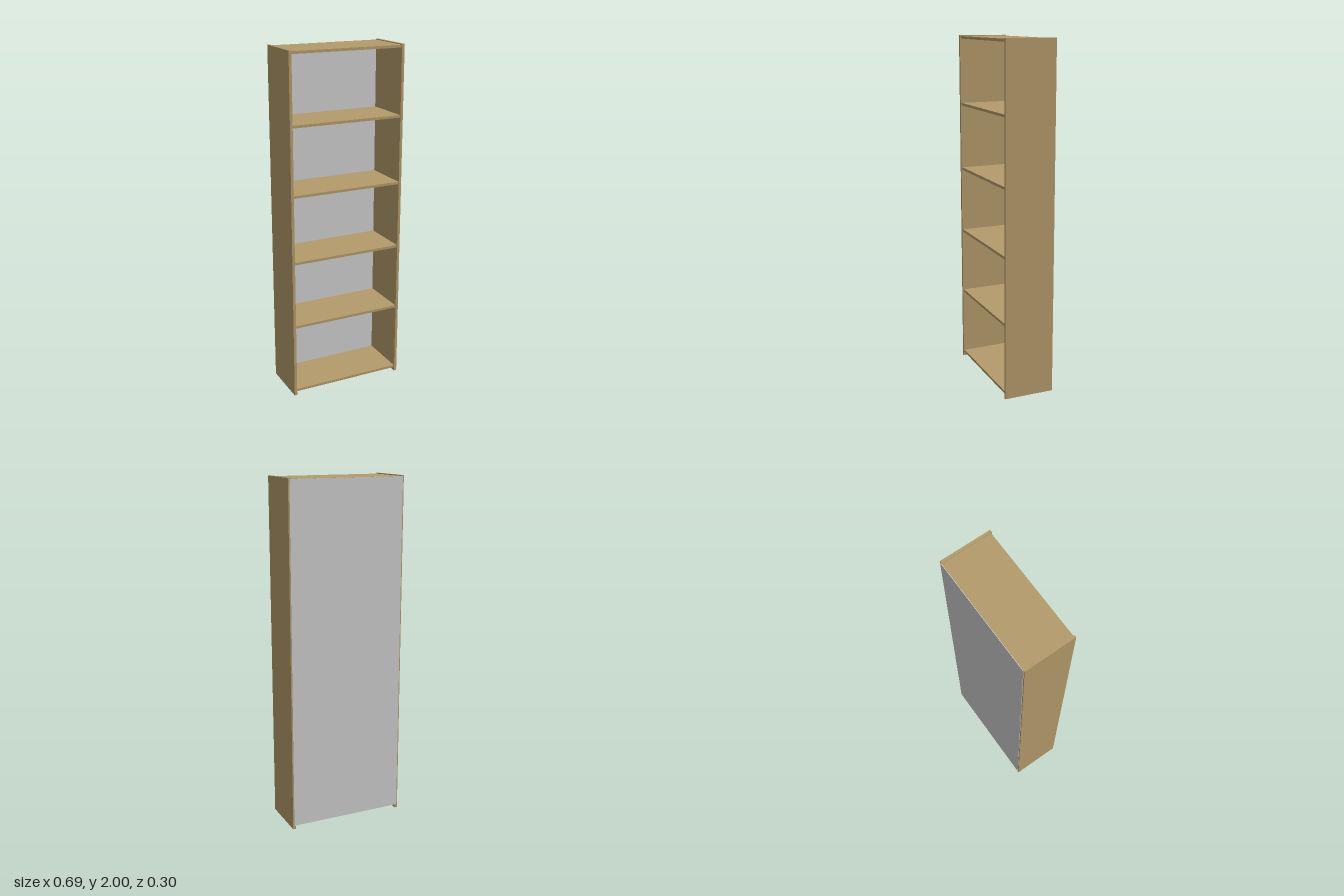
import * as THREE from 'three';

export function createModel() {
  const wood = new THREE.MeshStandardMaterial({ name: 'wood', color: 0xb39b6b });
  const grey = new THREE.MeshStandardMaterial({ name: 'backGrey', color: 0xcccccc });
  const model = new THREE.Group();
  model.name = 'bookcase';

  // Box given by its minimum and maximum corners
  const board = (name, material, [x0, y0, z0], [x1, y1, z1]) => {
    const mesh = new THREE.Mesh(new THREE.BoxGeometry(x1 - x0, y1 - y0, z1 - z0), material);
    mesh.position.set((x0 + x1) / 2, (y0 + y1) / 2, (z0 + z1) / 2);
    mesh.name = name;
    model.add(mesh);
  };

  const outer = 0.344, inner = 0.328, back = -0.145, front = 0.147;
  const thick = 0.015;

  // Upright side panels
  board('leftSide', wood, [inner, 0, back], [outer, 2, front]);
  board('rightSide', wood, [-outer, 0, back], [-inner, 2, front]);

  // Bottom, four shelves and top, set slightly behind the front edges
  const names = ['bottom', 'shelf1', 'shelf2', 'shelf3', 'shelf4', 'top'];
  [0.029, 0.435, 0.824, 1.212, 1.6, 1.988].forEach((y, i) =>
    board(names[i], wood, [-inner, y - thick / 2, back], [inner, y + thick / 2, 0.142]));

  // Thin back panel overlapping the rear edges
  board('backPanel', grey, [-0.337, 0.022, -0.148], [0.337, 1.995, back]);

  return model;
}
